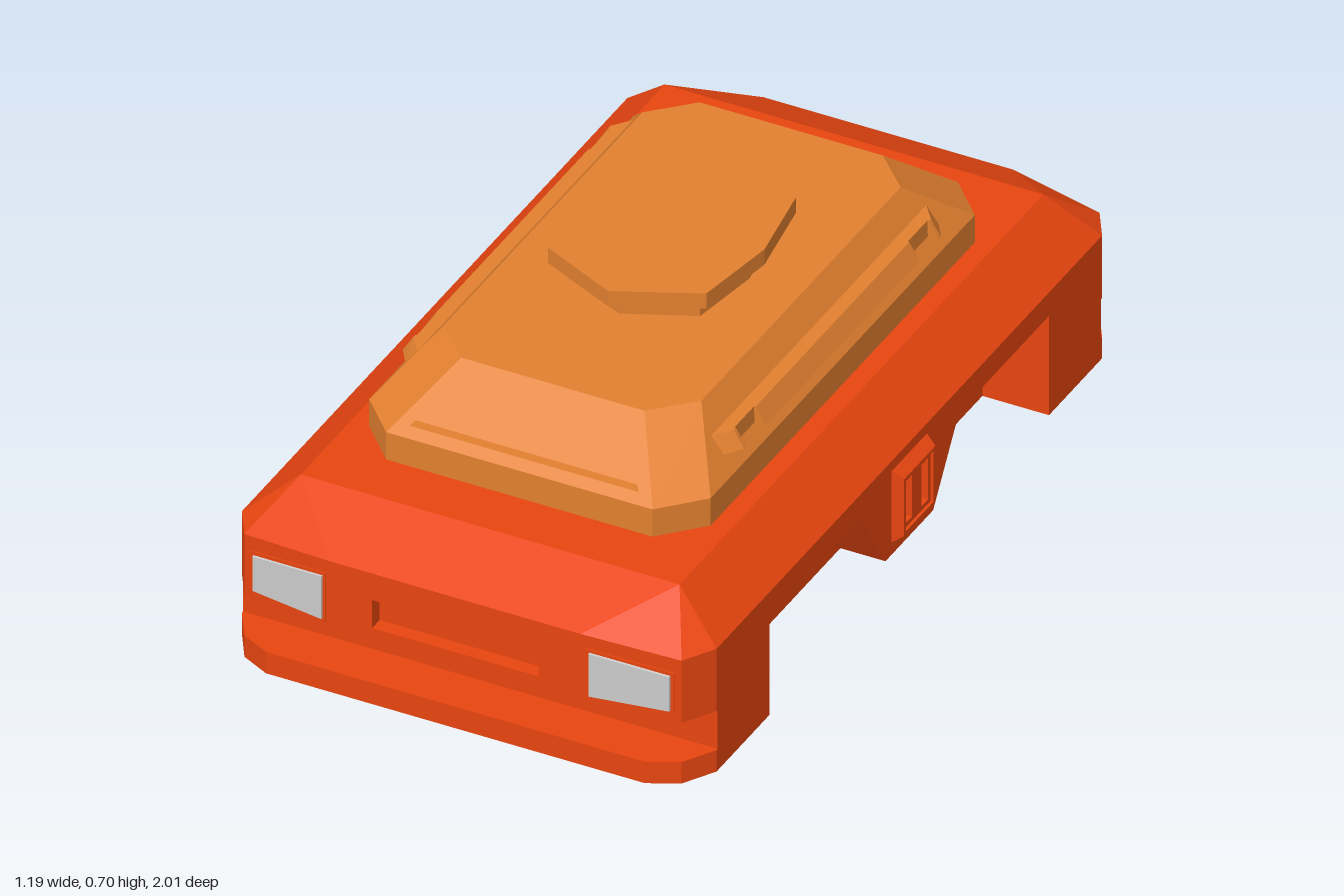
import * as THREE from 'three';

const mat = (color) => new THREE.MeshStandardMaterial({ color, flatShading: true });
const RED = mat(0xe84510), ORANGE = mat(0xe2802f), GREY = mat(0xcccccc);

// Mirror quarter-outline points [x, z], listed from side to end, into a full ring
function mirror4(q) {
  const r = [...q].reverse();
  const all = [
    ...q.map(([x, z]) => [x, -z]), ...r.map(([x, z]) => [-x, -z]),
    ...q.map(([x, z]) => [-x, z]), ...r.map(([x, z]) => [x, z]),
  ];
  return all.filter((p, i) => {
    const n = all[(i + 1) % all.length];
    return Math.hypot(p[0] - n[0], p[1] - n[1]) > 1e-6;
  });
}
const level = (q, y) => mirror4(q).map(([x, z]) => [x, y, z]);

// Skin rings of equal length; rings run counter-clockwise seen from the last one
function loft(rings, { start = false, end = true, skip = [] } = {}) {
  const v = [], n = rings[0].length;
  for (let k = 0; k + 1 < rings.length; k++) {
    for (let i = 0; i < n; i++) {
      if (skip.includes(i)) continue;
      const j = (i + 1) % n, a = rings[k], b = rings[k + 1];
      v.push(...a[i], ...a[j], ...b[j], ...a[i], ...b[j], ...b[i]);
    }
  }
  const last = rings[rings.length - 1], first = rings[0];
  for (let i = 1; i + 1 < n; i++) {
    if (end) v.push(...last[0], ...last[i], ...last[i + 1]);
    if (start) v.push(...first[0], ...first[i + 1], ...first[i]);
  }
  const g = new THREE.BufferGeometry();
  g.setAttribute('position', new THREE.Float32BufferAttribute(v, 3));
  g.computeVertexNormals();
  return g;
}

const shapeOf = (pts) => new THREE.Shape(pts.map(([x, y]) => new THREE.Vector2(x, y)));
const prism = (shape, depth) => new THREE.ExtrudeGeometry(shape, { depth, bevelEnabled: false });

export function createModel() {
  const model = new THREE.Group();
  const add = (name, geo, material, turn = 0) => {
    const m = new THREE.Mesh(geo, material);
    m.name = name;
    m.rotation.y = turn;
    model.add(m);
  };
  const slab = (name, q, y0, y1) => {
    const g = prism(shapeOf(mirror4(q).map(([x, z]) => [x, -z])), y1 - y0);
    add(name, g.rotateX(-Math.PI / 2).translate(0, y0, 0), RED);
  };

  // Lower body: stacked plan outlines with side wells, bumper groove and grille slot
  const well = [[0.41, 0.645], [0.57, 0.645]];
  const nose = [[0.57, 0.89], [0.525, 0.965], [0.3, 1]];
  const slot = [[0.2, 1], [0.2, 0.965]];
  slab('bumper', [...well, [0.57, 0.89], [0.525, 0.965], [0.455, 1]], 0, 0.055);
  slab('bumperGroove', [...well, [0.57, 0.885]], 0.055, 0.155);
  slab('lowerNose', [...well, ...nose], 0.155, 0.195);
  slab('grilleBand', [...well, ...nose, ...slot], 0.195, 0.255);
  slab('grilleTop', [...nose, ...slot], 0.255, 0.267);

  // Upper body: rim dips towards the corners, then slopes in to a flat deck
  const rim = level(nose, 0.315).map(([x, y, z]) => [x, Math.abs(z) > 0.99 ? 0.335 : y, z]);
  const deck = [[0.455, 0.84], [0.455, 0.84], [0.455, 0.84]];
  const quarter = deck.flatMap(([x, z]) => [[x, z]]);
  const deckRing = [[1, -1], [-1, -1], [-1, 1], [1, 1]]
    .flatMap(([sx, sz]) => quarter.map(([x, z]) => [sx * x, 0.415, sz * z]));
  add('upperBody', loft([level(nose, 0.267), rim, deckRing], { start: true }), RED);

  // Side parts, repeated by a half turn
  for (const turn of [0, Math.PI]) {
    const strut = shapeOf([[-0.23, 0.255], [-0.11, 0.075], [0.11, 0.075], [0.23, 0.255]]);
    add('sideStrut', prism(strut, 0.16).rotateY(Math.PI / 2).translate(0.41, 0, 0), RED, turn);

    // Side hatch: bevelled surround and a plate with two slots
    const rect = (z, y0, y1, x) => [[x, y0, z], [x, y0, -z], [x, y1, -z], [x, y1, z]];
    add('hatchFrame', loft([
      rect(0.083, 0.103, 0.293, 0.565), rect(0.073, 0.125, 0.27, 0.595),
      rect(0.064, 0.132, 0.263, 0.595), rect(0.064, 0.132, 0.263, 0.585),
    ], { end: false }), RED, turn);
    const plate = shapeOf([[-0.066, 0.13], [0.066, 0.13], [0.066, 0.265], [-0.066, 0.265]]);
    for (const s of [-1, 1]) {
      plate.holes.push(shapeOf([[s * 0.022, 0.143], [s * 0.052, 0.143], [s * 0.052, 0.25], [s * 0.022, 0.25]]));
    }
    add('hatchPlate', prism(plate, 0.02).rotateY(Math.PI / 2).translate(0.568, 0, 0), RED, turn);

    // Ledge along the cabin side with a slot near each end
    const section = (z, lo, hi) => [
      [0.32, 0.52, z], [0.38 + 0.03 * lo, 0.52, z], [0.35 + 0.035 * hi, 0.56, z], [0.32, 0.56, z],
    ];
    const half = [[0.5, 0, 0], [0.455, 1, 1], [0.445, 1, 1], [0.445, 0.1, 0.9],
      [0.355, 0.1, 0.9], [0.355, 1, 1]];
    const rings = [
      ...half.map(([z, lo, hi]) => section(-z, lo, hi)),
      ...[...half].reverse().map(([z, lo, hi]) => section(z, lo, hi)),
    ];
    add('cabinLedge', loft(rings, { start: true }), ORANGE, turn);

    // Sunken panel in the sloping end of the cabin
    const slope = (x, y, d = 0) => [x, y, 0.705 - ((y - 0.485) / 0.13) * 0.155 - d];
    const quad = (x0, y0, x1, y1, d) => [slope(-x0, y0, d), slope(x0, y0, d), slope(x1, y1, d), slope(-x1, y1, d)];
    add('endPanel', loft([
      quad(0.32, 0.485, 0.22, 0.615), quad(0.275, 0.503, 0.19, 0.595), quad(0.275, 0.503, 0.19, 0.595, 0.024),
    ]), ORANGE, turn);

    // Headlights follow the angled nose faces
    for (const s of [-1, 1]) {
      const lamp = (grow, out) => {
        const r = [[0.318 - grow, 0.18 - grow], [0.503 + grow, 0.18 - grow],
          [0.503 + grow, 0.274 + grow], [0.318 - grow, 0.295 + grow]]
          .map(([x, y]) => [s * x, y, 1 - (x - 0.3) * 0.156 + out]);
        return s > 0 ? r : r.reverse();
      };
      add('lampFrame', loft([lamp(0.008, -0.01), lamp(0.006, 0.002)]), RED, turn);
      add('headlight', loft([lamp(0, -0.01), lamp(-0.003, 0.007)]), GREY, turn);
    }
  }

  // Cabin: chamfered base, sloping sides, flat roof
  const base = [[0.41, 0.61], [0.32, 0.705]];
  const roof = [[0.31, 0.46], [0.22, 0.55]];
  add('cabinBase', loft([level(base, 0.41), level(base, 0.485)], { end: false }), ORANGE);
  add('cabinRoof', loft([level(base, 0.485), level(roof, 0.615)], { skip: [1, 5] }), ORANGE);

  // Roof hatch: neck and wider cap
  const neck = [[0.185, 0], [0.158, 0.175], [0, 0.245]];
  const cap = [[0.222, 0], [0.19, 0.207], [0, 0.295]];
  add('roofNeck', loft([level(neck, 0.61), level(neck, 0.664)]), ORANGE);
  add('roofCap', loft([level(cap, 0.663), level(cap, 0.702)], { start: true }), ORANGE);
  return model;
}
